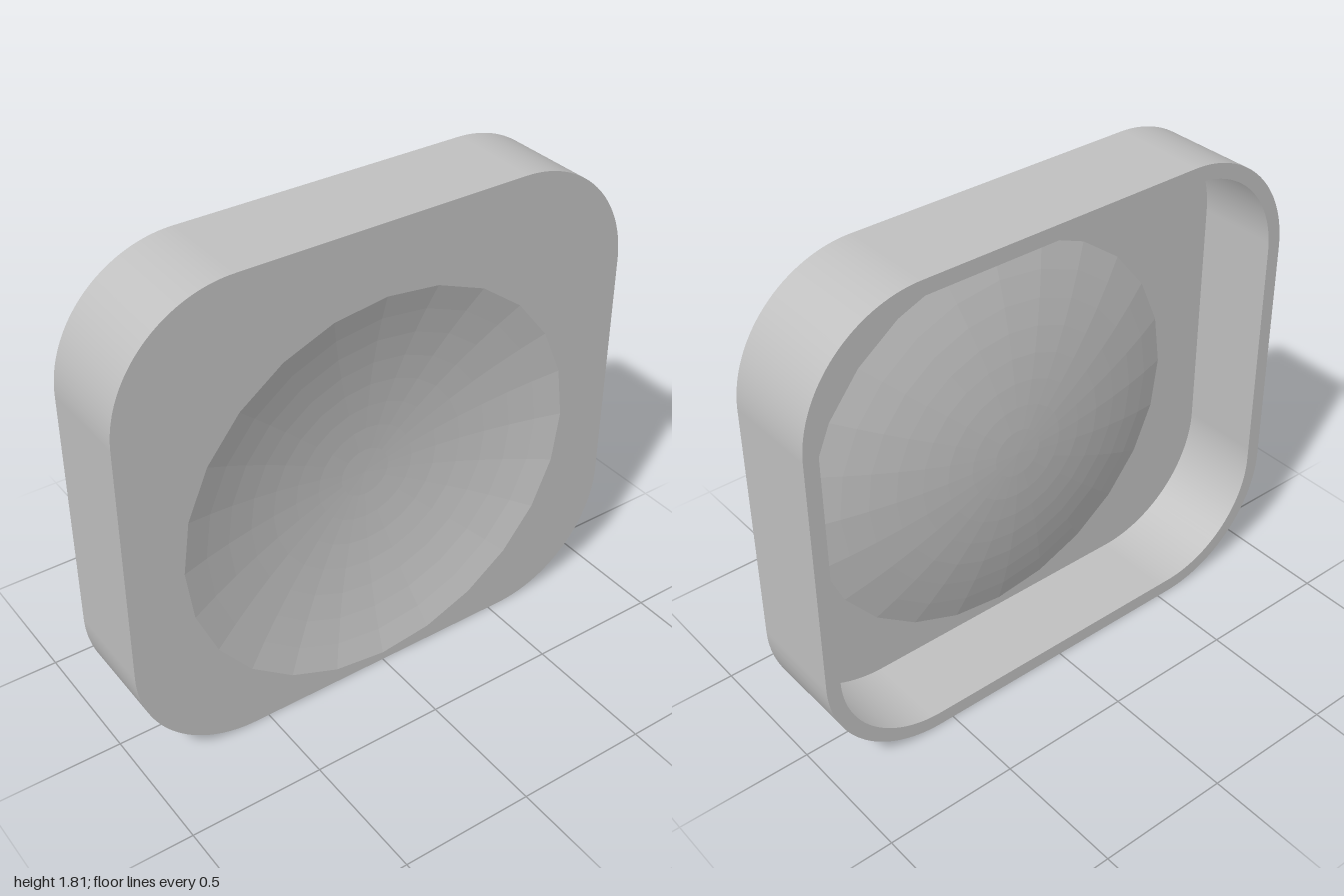
import * as THREE from 'three';

const W = 2, H = 1.81, R = 0.45, Z = 0.18;          // outline size, corner radius, half depth
const DISH = { y: 0.79, rx: 0.79, ry: 0.757, depth: 0.12, sides: 24 };

// Rounded rectangle, inset evenly from the outer outline
function outline(inset = 0, Type = THREE.Shape) {
  const x = W / 2 - inset, y0 = inset, y1 = H - inset, r = R - inset;
  const s = new Type();
  s.moveTo(0, y0);
  s.lineTo(x - r, y0);
  s.absarc(x - r, y0 + r, r, -Math.PI / 2, 0);
  s.absarc(x - r, y1 - r, r, 0, Math.PI / 2);
  s.absarc(-x + r, y1 - r, r, Math.PI / 2, Math.PI);
  s.absarc(-x + r, y0 + r, r, Math.PI, Math.PI * 1.5);
  s.lineTo(0, y0);
  return s;
}

// Open band that follows the outline from back to front
function bandGeometry(points) {
  const pos = [], index = [];
  points.forEach((p, i) => {
    pos.push(p.x, p.y, -Z, p.x, p.y, Z);
    if (i === points.length - 1) return;
    const a = i * 2;
    index.push(a, a + 2, a + 3, a, a + 3, a + 1);
  });
  const g = new THREE.BufferGeometry();
  g.setAttribute('position', new THREE.Float32BufferAttribute(pos, 3));
  g.setIndex(index);
  g.computeVertexNormals();
  return g;
}

export function createModel() {
  const group = new THREE.Group();
  const grey = new THREE.MeshStandardMaterial({ color: 0xc0c0c0, side: THREE.DoubleSide });
  const greyFaceted = grey.clone();
  greyFaceted.flatShading = true;
  grey.name = 'grey';
  greyFaceted.name = 'greyFaceted';

  const add = (name, geometry, material = grey) => {
    const mesh = new THREE.Mesh(geometry, material);
    mesh.name = name;
    group.add(mesh);
    return mesh;
  };

  // Front plate with an opening for the dish
  const plate = outline();
  const opening = [];
  for (let i = 0; i < DISH.sides; i++) {
    const a = (i / DISH.sides) * Math.PI * 2;
    opening.push(new THREE.Vector2(DISH.rx * Math.cos(a), DISH.y + DISH.ry * Math.sin(a)));
  }
  plate.holes.push(new THREE.Path(opening));
  add('frontPlate', new THREE.ShapeGeometry(plate, 20)).position.z = Z;

  // Shallow faceted dish sunk into the front: a spherical cap
  const sphereR = (1 + DISH.depth ** 2) / (2 * DISH.depth);
  const profile = [];
  for (let i = 0; i <= 8; i++) {
    const r = i / 8;
    profile.push(new THREE.Vector2(r, sphereR - DISH.depth - Math.sqrt(sphereR ** 2 - r * r)));
  }
  const cap = new THREE.LatheGeometry(profile, DISH.sides);
  cap.rotateX(Math.PI / 2);
  cap.scale(DISH.rx, DISH.ry, 1);
  add('dish', cap, greyFaceted).position.set(0, DISH.y, Z);

  // Side wall around the hollow body
  add('sideWall', bandGeometry(outline().getPoints(20)));

  // Narrow rim around the open back
  const rim = outline();
  rim.holes.push(outline(0.055, THREE.Path));
  const rimGeometry = new THREE.ShapeGeometry(rim, 20);
  rimGeometry.rotateY(Math.PI);
  add('backRim', rimGeometry).position.z = -Z;

  return group;
}
